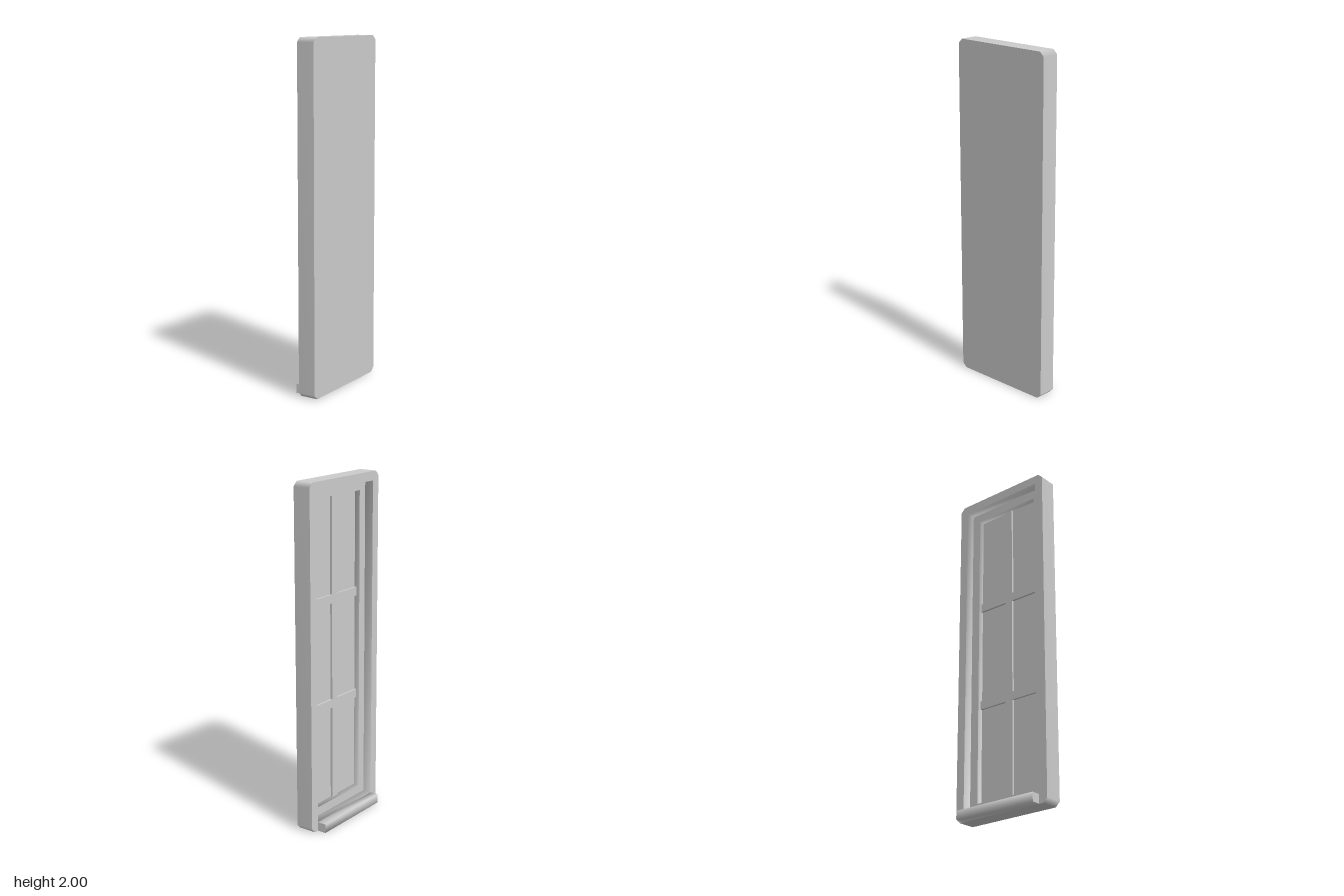
import * as THREE from 'three';

const grey = new THREE.MeshStandardMaterial({ color: 0xcccccc });
grey.name = 'plain grey';

// Outlines are [z, y] points, counter-clockwise as seen from -x
const rect = (z0, y0, z1, y1) => [[z0, y0], [z1, y0], [z1, y1], [z0, y1]];
const W = 0.316, H = 2, C = 0.026;
const casingOutline = [
  [-W + C, 0], [W - C, 0], [W, C], [W, H - C],
  [W - C, H], [-W + C, H], [-W, H - C], [-W, C],
];
const opening = rect(-0.263, 0.053, 0.263, 1.947);
const paneOpening = rect(-0.21, 0.105, 0.21, 1.895);

// Depths along x
const FRONT = -0.027, STEP = 0.026, BAR = 0.046, PANE = 0.059, BACK = 0.079;

const toVectors = (pts) => pts.map(([a, b]) => new THREE.Vector2(a, b));

// Flat face at depth x, facing -x (or +x when back is true)
function face(outline, hole, x, back = false) {
  const shape = new THREE.Shape(toVectors(outline));
  if (hole) shape.holes.push(new THREE.Path(toVectors(hole)));
  const geo = new THREE.ShapeGeometry(shape);
  geo.rotateY(back ? Math.PI / 2 : -Math.PI / 2);
  return geo.translate(x, 0, 0);
}

// Band of wall following an outline from x0 to x1, smooth around its corners
function wall(outline, x0, x1, inward = false) {
  const pos = [], idx = [], n = outline.length;
  outline.forEach(([z, y], i) => {
    pos.push(x0, y, z, x1, y, z);
    const a = 2 * i, c = a + 1, b = 2 * ((i + 1) % n), d = b + 1;
    if (inward) idx.push(a, b, c, b, d, c);
    else idx.push(a, c, b, b, c, d);
  });
  const geo = new THREE.BufferGeometry();
  geo.setAttribute('position', new THREE.Float32BufferAttribute(pos, 3));
  geo.setIndex(idx);
  geo.computeVertexNormals();
  return geo;
}

export function createModel() {
  const model = new THREE.Group();
  model.name = 'window';
  const add = (name, geo, parent = model) => {
    const mesh = new THREE.Mesh(geo, grey);
    mesh.name = name;
    parent.add(mesh);
    return mesh;
  };

  // Outer casing with clipped corners
  add('casingSides', wall(casingOutline, FRONT, BACK));
  add('casingFace', face(casingOutline, opening, FRONT));
  add('casingBack', face(casingOutline, null, BACK, true));
  add('openingSides', wall(opening, FRONT, STEP, true));

  // Sash set back inside the casing, and the pane behind it
  add('sashFace', face(opening, paneOpening, STEP));
  add('sashSides', wall(paneOpening, STEP, PANE, true));
  add('pane', face(paneOpening, null, PANE));

  // Glazing bars: one upright, two crossbars
  const bars = new THREE.Group();
  bars.name = 'glazingBars';
  model.add(bars);
  const depth = PANE - BAR, mid = (PANE + BAR) / 2;
  add('uprightBar', new THREE.BoxGeometry(depth, 1.79, 0.05).translate(mid, 1, 0), bars);
  for (const y of [0.69, 1.31]) {
    add('crossbar', new THREE.BoxGeometry(depth, 0.05, 0.42).translate(mid, y, 0), bars);
  }

  // Sill: a short profile run along z, closed at both ends
  const sill = new THREE.Group();
  sill.name = 'sill';
  sill.rotation.y = Math.PI / 2;
  model.add(sill);
  const profile = rect(-0.08, 0, FRONT, 0.053);
  add('sillBody', wall(profile, -0.263, 0.263), sill);
  add('sillEnd', face(profile, null, -0.263), sill);
  // The far end is mirrored in its own plane by facing +x
  const mirrored = rect(-FRONT, 0, 0.08, 0.053);
  add('sillEnd', face(mirrored, null, 0.263, true), sill);

  return model;
}
